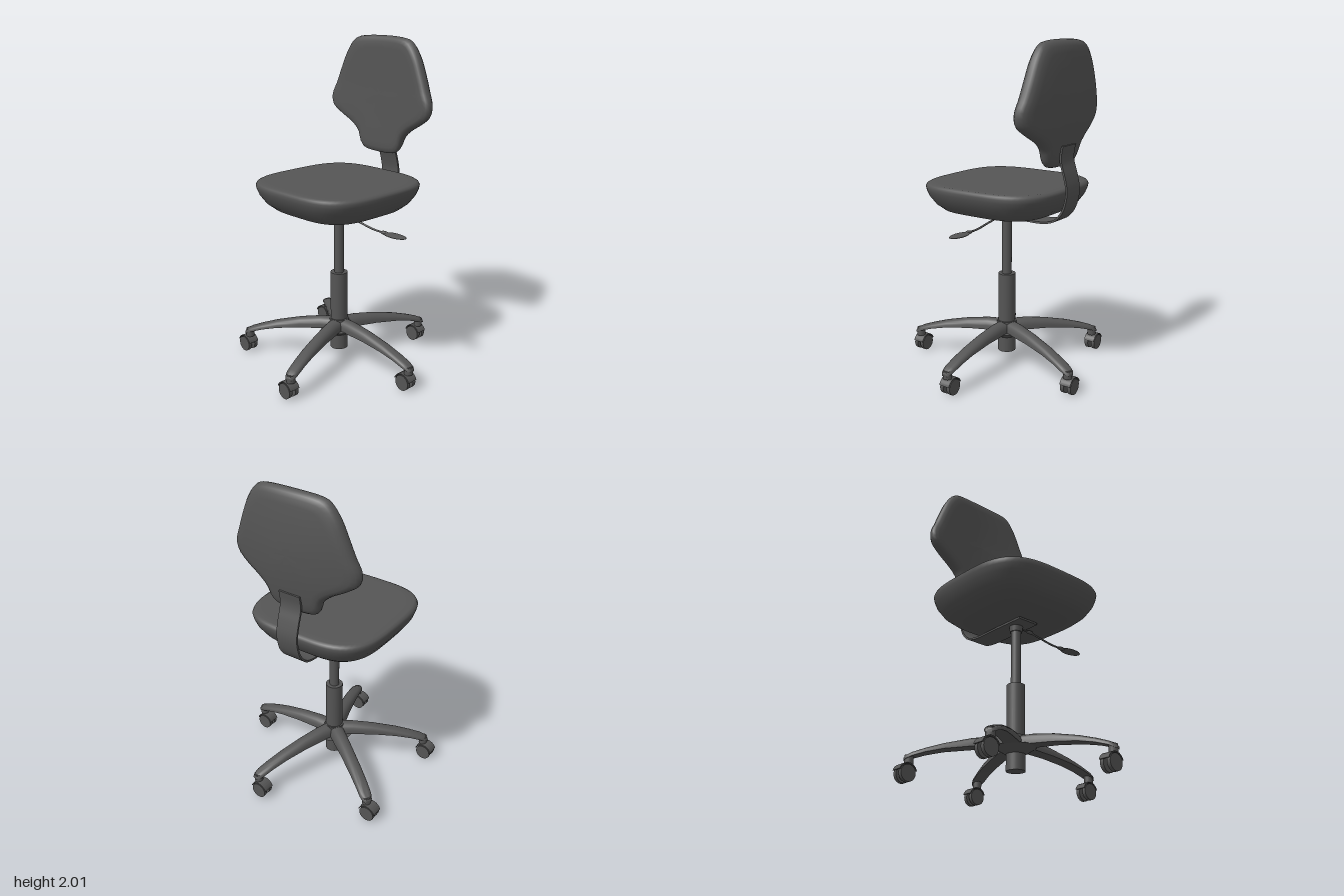
import * as THREE from 'three';
import { toCreasedNormals } from 'three/addons/utils/BufferGeometryUtils.js';

const CZ = -0.03; // z of the column axis
const darkGrey = new THREE.MeshStandardMaterial({ color: 0x555555 });
darkGrey.name = 'dark grey';

function part(parent, name, geometry, x = 0, y = 0, z = 0) {
  const mesh = new THREE.Mesh(geometry, darkGrey);
  mesh.name = name;
  mesh.position.set(x, y, z);
  parent.add(mesh);
  return mesh;
}

// Closed skin over rings of [x, y, z] points, with both ends capped
function loft(rings, crease) {
  const n = rings[0].length;
  const cap = (ring) => {
    const c = [0, 1, 2].map((k) => ring.reduce((sum, p) => sum + p[k], 0) / n);
    return ring.map(() => c);
  };
  const all = [cap(rings[0]), ...rings, cap(rings[rings.length - 1])];
  const index = [];
  for (let i = 0; i < all.length - 1; i++) {
    for (let j = 0; j < n; j++) {
      const a = i * n + j, b = i * n + (j + 1) % n;
      const d = a + n, c = b + n;
      if (i > 0) index.push(a, d, b);
      if (i < all.length - 2) index.push(b, d, c);
    }
  }
  const g = new THREE.BufferGeometry();
  g.setAttribute('position', new THREE.Float32BufferAttribute(all.flat(2), 3));
  g.setIndex(index);
  g.computeVertexNormals();
  return crease ? toCreasedNormals(g, crease) : g;
}

// Cushion: rounded-square rings, flat on top and dished below
function seatGeometry() {
  const profile = [[0.2, 0.97], [0.4, 0.975], [0.62, 0.985], [0.78, 1.005], [0.88, 1.04],
    [0.96, 1.09], [0.99, 1.125], [1, 1.147], [0.985, 1.161], [0.95, 1.17], [0.85, 1.171], [0.4, 1.171]];
  const bend = (v) => Math.sign(v) * Math.abs(v) ** (2 / 3.5);
  return loft(profile.map(([s, y]) => Array.from({ length: 56 }, (_, j) => {
    const a = (j / 56) * Math.PI * 2;
    return [0.428 * s * bend(Math.cos(a)), y, -0.04 + 0.424 * s * bend(Math.sin(a))];
  })));
}

// Backrest: padded outline, curved around the sitter
function backrestGeometry() {
  const half = [[0.16, 2], [0.225, 1.982], [0.285, 1.91], [0.335, 1.8], [0.375, 1.7], [0.408, 1.62],
    [0.398, 1.555], [0.335, 1.505], [0.24, 1.45], [0.185, 1.4], [0.158, 1.33], [0.125, 1.302]];
  const points = [...half.map(([w, y]) => [-w, y]), ...half.slice().reverse()];
  const outline = new THREE.CatmullRomCurve3(
    points.map(([z, y]) => new THREE.Vector3(0, y, z)), true, 'centripetal').getSpacedPoints(80).slice(0, 80);
  // [scale, blend from front surface to back surface]
  const steps = [[0.25, 0], [0.55, 0], [0.8, 0], [0.9, 0.02], [0.96, 0.12], [0.99, 0.3], [1, 0.5],
    [0.99, 0.7], [0.96, 0.88], [0.9, 0.98], [0.8, 1], [0.55, 1], [0.25, 1]];
  const midY = 1.65;
  return loft(steps.map(([s, t]) => outline.map((p) => {
    const z = p.z * s, y = midY + (p.y - midY) * s;
    const front = 0.348 - 0.22 * z * z - 0.03 * Math.max(0, 1.7 - y);
    const back = 0.455 - 0.33 * (y - 1.72) ** 2 - 0.38 * z * z;
    return [front + (back - front) * t, y, z + CZ];
  })));
}

// Bent flat strap from under the seat to the backrest
function strapGeometry() {
  const path = [[-0.11, 0.961], [0.1, 0.961], [0.31, 0.963], [0.38, 0.985], [0.43, 1.04], [0.454, 1.11],
    [0.459, 1.17], [0.442, 1.25], [0.42, 1.32], [0.417, 1.36], [0.427, 1.42]];
  const curve = new THREE.CatmullRomCurve3(path.map(([x, y]) => new THREE.Vector3(x, y, 0)), false, 'centripetal');
  const left = [], right = [];
  for (let i = 0; i <= 60; i++) {
    const p = curve.getPointAt(i / 60), t = curve.getTangentAt(i / 60);
    left.push(new THREE.Vector2(p.x - t.y * 0.006, p.y + t.x * 0.006));
    right.unshift(new THREE.Vector2(p.x + t.y * 0.006, p.y - t.x * 0.006));
  }
  const g = new THREE.ExtrudeGeometry(new THREE.Shape([...left, ...right]), { depth: 0.14, bevelEnabled: false });
  return toCreasedNormals(g.translate(0, 0, CZ - 0.07), 0.6);
}

// Arched, tapering leg along +z: domed top and flat underside
function legGeometry() {
  const stations = [[0, 0.28, 0.212, 0.05], [0.12, 0.277, 0.212, 0.047], [0.25, 0.26, 0.205, 0.043],
    [0.4, 0.227, 0.188, 0.041], [0.5, 0.197, 0.167, 0.039], [0.57, 0.172, 0.145, 0.037],
    [0.6, 0.157, 0.132, 0.03], [0.615, 0.142, 0.125, 0.018]];
  return loft(stations.map(([z, top, low, w]) => Array.from({ length: 13 }, (_, i) => {
    const a = Math.PI * (1 - i / 12);
    return [w * Math.cos(a), low + (top - low) * Math.sin(a) ** 0.7, z];
  })), 0.8);
}

// Curved hood over the caster wheels
function hoodGeometry() {
  const shape = new THREE.Shape();
  shape.absarc(0, 0, 0.058, 0.3, Math.PI - 0.3, false);
  shape.absarc(0, 0, 0.052, Math.PI - 0.3, 0.3, true);
  const g = new THREE.ExtrudeGeometry(shape, { depth: 0.07, bevelEnabled: false, curveSegments: 16 });
  return toCreasedNormals(g.translate(0, 0, -0.035).rotateY(Math.PI / 2), 0.6);
}

export function createModel() {
  const model = new THREE.Group();
  model.name = 'swivelChair';

  part(model, 'seat', seatGeometry());
  part(model, 'backrest', backrestGeometry());
  part(model, 'backStrap', strapGeometry());

  // Gas-lift column
  const column = [['hubSleeve', 0.055, 0.055, 0.08, 0.22], ['hubGusset', 0.12, 0.055, 0.175, 0.216],
    ['hub', 0.062, 0.062, 0.2, 0.279], ['columnSleeve', 0.053, 0.053, 0.25, 0.585],
    ['columnRod', 0.03, 0.03, 0.58, 0.96], ['columnCollar', 0.041, 0.036, 0.92, 0.957]];
  for (const [name, top, bottom, y0, y1] of column) {
    part(model, name, new THREE.CylinderGeometry(top, bottom, y1 - y0, 28), 0, (y0 + y1) / 2, CZ);
  }

  // Height lever with a flat paddle
  const leverPath = [[0.957, -0.02], [0.955, 0.07], [0.944, 0.15], [0.926, 0.27], [0.925, 0.38]];
  const leverCurve = new THREE.CatmullRomCurve3(leverPath.map(([y, z]) => new THREE.Vector3(0, y, z)));
  part(model, 'leverRod', new THREE.TubeGeometry(leverCurve, 24, 0.006, 8));
  const ball = new THREE.SphereGeometry(1, 20, 12);
  part(model, 'leverPivot', ball, 0, 0.955, 0.08).scale.set(0.014, 0.01, 0.03);
  part(model, 'leverNeck', ball, 0, 0.925, 0.35).scale.set(0.015, 0.011, 0.03);
  part(model, 'leverPaddle', ball, 0, 0.925, 0.43).scale.set(0.04, 0.008, 0.082);

  // Five legs; every caster trails the same way
  const leg = legGeometry(), hood = hoodGeometry();
  const wheel = new THREE.CylinderGeometry(0.048, 0.048, 0.023, 24).rotateZ(Math.PI / 2);
  for (let i = 0; i < 5; i++) {
    const a = (i / 5) * Math.PI * 2;
    part(model, 'leg', leg, 0, 0, CZ).rotation.y = a;

    const caster = new THREE.Group();
    caster.name = 'caster';
    caster.position.set(0.587 * Math.sin(a), 0, CZ + 0.587 * Math.cos(a));
    model.add(caster);
    part(caster, 'casterStem', new THREE.CylinderGeometry(0.026, 0.026, 0.05, 16), 0, 0.128, 0);
    part(caster, 'casterHood', hood, 0, 0.048, -0.022);
    part(caster, 'casterBlock', new THREE.BoxGeometry(0.026, 0.046, 0.03), 0, 0.079, -0.02);
    for (const side of [-1, 1]) part(caster, 'casterWheel', wheel, side * 0.0235, 0.048, -0.022);
  }
  return model;
}
